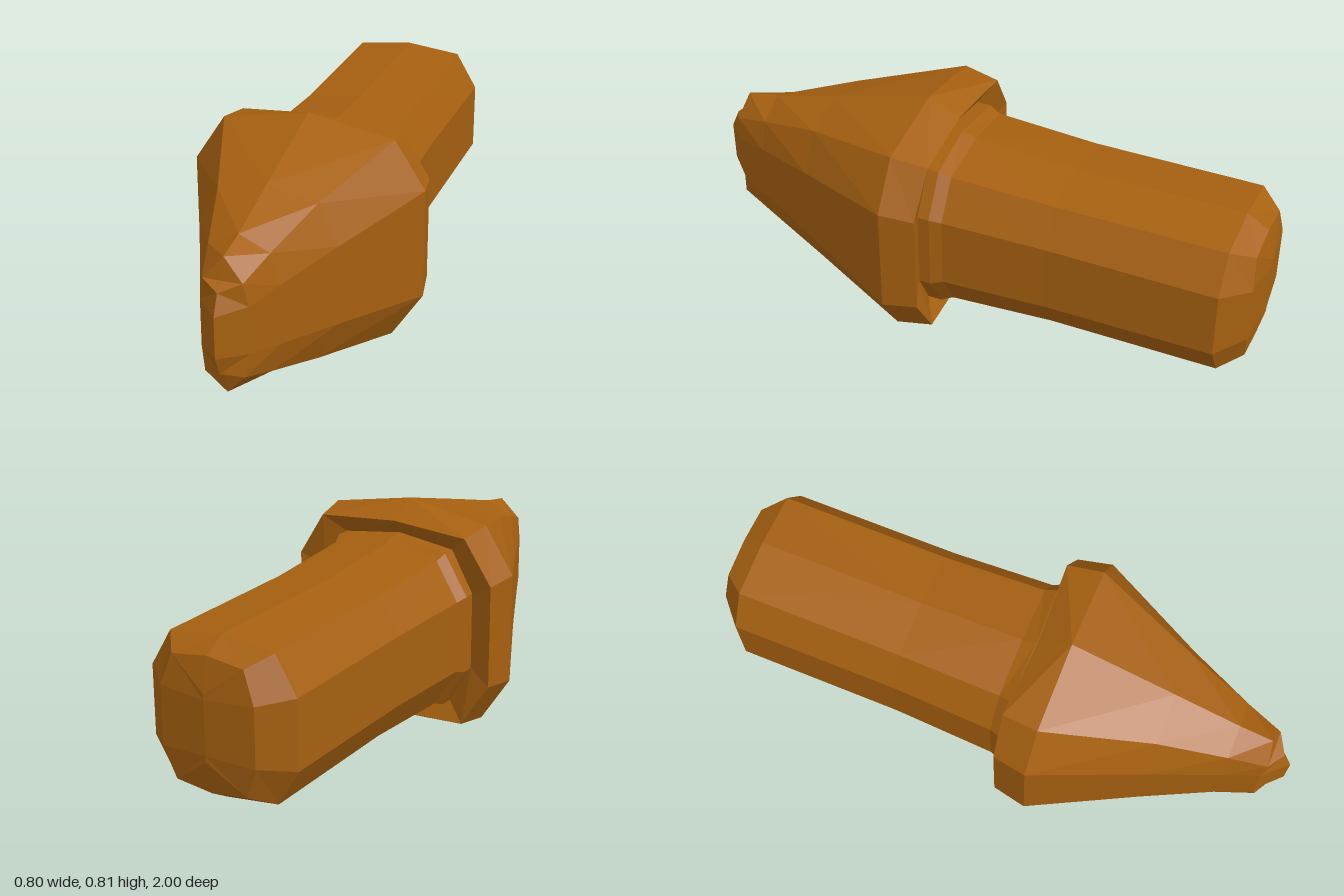
import * as THREE from 'three';

const CENTER_Y = 0.408;

// Each section is one quarter of a ten-sided ring: [x, y, z] for ridge, shoulder and side corner.
// Sections run from back to front and are mirrored in x and y.
function loft(sections, material, name) {
  const rings = sections.map((s) => [...s, [s[2][0], 0, s[2][2]]].map((p) => new THREE.Vector3(...p)));
  const position = [];
  const cross = new THREE.Vector3(), edge = new THREE.Vector3();
  for (const sx of [1, -1]) for (const sy of [1, -1]) {
    const triangle = (a, b, c) => {
      cross.subVectors(b, a).cross(edge.subVectors(c, a));
      if (cross.length() < 1e-7) return;
      const order = sx * sy > 0 ? [a, b, c] : [a, c, b];
      for (const p of order) position.push(p.x * sx, p.y * sy + CENTER_Y, p.z);
    };
    for (let i = 0; i < rings.length - 1; i++) {
      const back = rings[i], front = rings[i + 1];
      for (let j = 0; j < 3; j++) {
        triangle(back[j], front[j], back[j + 1]);
        triangle(back[j + 1], front[j], front[j + 1]);
      }
    }
  }
  const geometry = new THREE.BufferGeometry();
  geometry.setAttribute('position', new THREE.Float32BufferAttribute(position, 3));
  geometry.computeVertexNormals();
  const mesh = new THREE.Mesh(geometry, material);
  mesh.name = name;
  return mesh;
}

export function createModel() {
  const group = new THREE.Group();
  group.name = 'wedgePeg';
  const bronze = new THREE.MeshStandardMaterial({ color: 0xa66010, flatShading: true });
  bronze.name = 'bronze brown';

  // Straight shaft with a rounded back end and a slight flare at the head
  const shaft = loft([
    [[0, 0.11, -1], [0, 0.11, -1], [0, 0.09, -1]],
    [[0, 0.222, -0.975], [0.13, 0.205, -0.975], [0.17, 0.1, -0.985]],
    [[0, 0.265, -0.9], [0.19, 0.243, -0.9], [0.265, 0.117, -0.9]],
    [[0, 0.265, -0.32], [0.19, 0.243, -0.32], [0.265, 0.12, -0.32]],
    [[0, 0.285, 0.04], [0.2, 0.258, 0.04], [0.28, 0.125, 0.04]],
    [[0, 0.3, 0.09], [0.21, 0.275, 0.08], [0.295, 0.135, 0.08]],
    [[0, 0.3, 0.14], [0.21, 0.275, 0.13], [0.295, 0.135, 0.12]],
  ], bronze, 'shaft');

  // Wedge head: recessed back face, rim, long taper and pointed vertical nose
  const head = loft([
    [[0, 0.3, 0.14], [0.21, 0.275, 0.13], [0.295, 0.135, 0.12]],
    [[0, 0.352, 0.1], [0.28, 0.335, 0.085], [0.378, 0.18, 0.092]],
    [[0, 0.407, 0.21], [0.295, 0.353, 0.21], [0.4, 0.191, 0.21]],
    [[0, 0.312, 0.57], [0.166, 0.272, 0.57], [0.232, 0.136, 0.57]],
    [[0, 0.25, 0.8], [0.1, 0.202, 0.8], [0.13, 0.1, 0.8]],
    [[0, 0.23, 0.915], [0.065, 0.158, 0.93], [0.078, 0.08, 0.92]],
    [[0, 0.158, 0.932], [0, 0.136, 0.97], [0, 0.07, 1]],
  ], bronze, 'head');

  group.add(shaft, head);
  return group;
}
